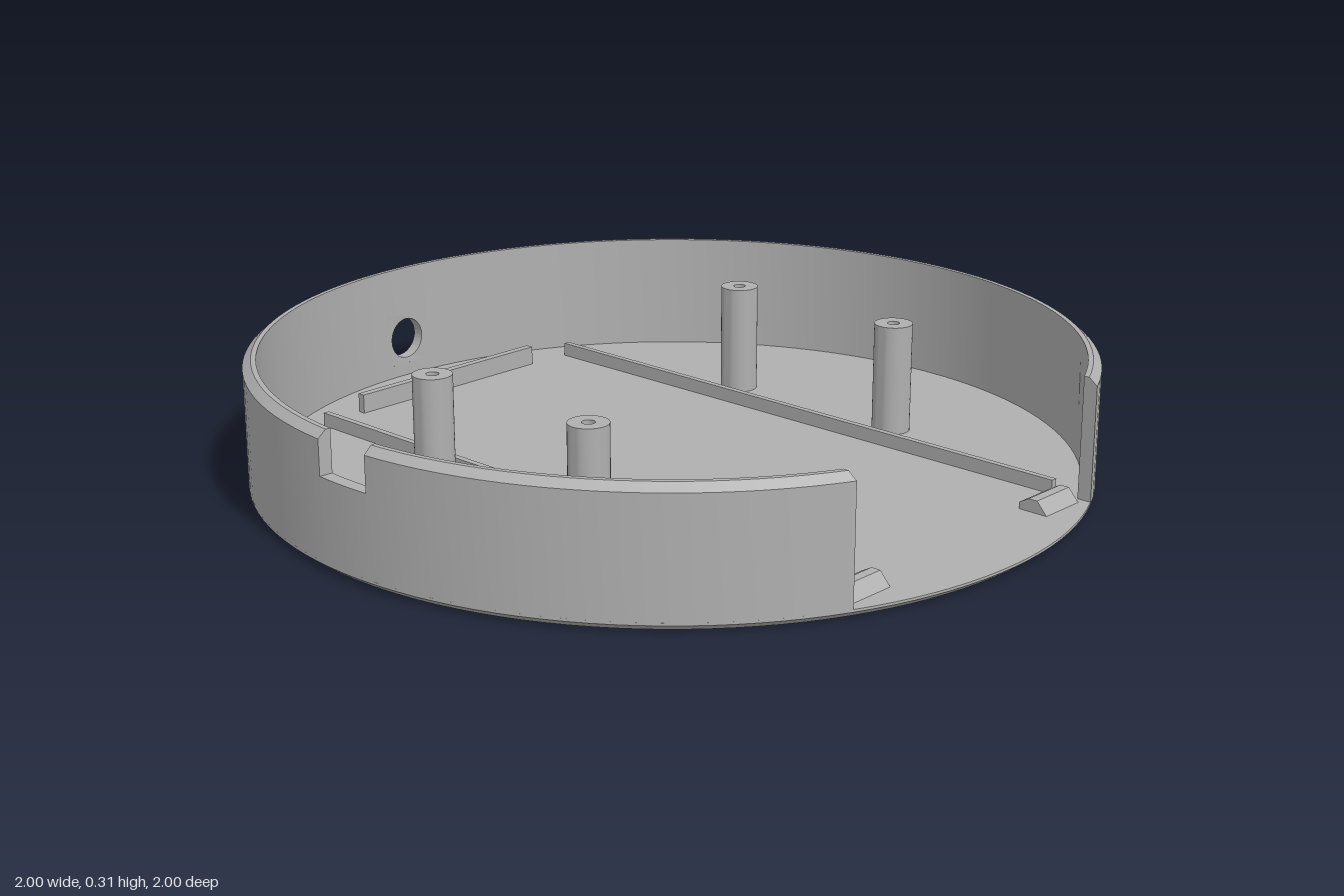
import * as THREE from 'three';
import { mergeGeometries, toCreasedNormals } from 'three/addons/utils/BufferGeometryUtils.js';

const OUT = 1, IN = 0.968, FLOOR = 0.022, TOP = 0.315, CUT = 0.425;
const vec = (list) => list.map(([x, y]) => new THREE.Vector2(x, y));

// Revolved closed profile between two angles (0 = front), with end caps
function sector(profile, a0, a1) {
  const pts = vec(profile);
  const segs = Math.max(1, Math.ceil((a1 - a0) / (Math.PI * 2) * 128));
  const skin = new THREE.LatheGeometry([...pts, pts[0]], segs, a0, a1 - a0);
  const caps = [a0, a1].map((a, i) => {
    const cap = new THREE.ShapeGeometry(new THREE.Shape(pts));
    if (i) cap.index.array.reverse();
    return cap.rotateY(a - Math.PI / 2);
  });
  return [skin, ...caps].map((g) => g.toNonIndexed());
}

// Wall cross-sections
const rim = [[OUT, 0.298], [OUT - 0.02, TOP], [IN, TOP]];
const plain = [[IN, FLOOR], [OUT, FLOOR], ...rim];
const slot = (y0, y1) => [[IN, FLOOR], [OUT, FLOOR], [OUT, y0], [OUT - 0.015, y0],
  [OUT - 0.015, y1], [OUT, y1], ...rim];
const notch = [[IN, FLOOR], [OUT, FLOOR], [OUT, 0.215], [IN, 0.215]];

// Curved panel with a round cable hole, bent around the back of the wall
function holePanel(half, y0, y1) {
  const n = 4, edge = [];
  for (let i = 0; i <= n; i++) edge.push([-half + 2 * half * i / n, y0]);
  for (let i = n; i >= 0; i--) edge.push([-half + 2 * half * i / n, y1]);
  const shape = new THREE.Shape(vec(edge));
  shape.holes.push(new THREE.Path().absarc(0, 0.123, 0.053, 0, Math.PI * 2, true));
  const geo = new THREE.ExtrudeGeometry(shape, { depth: OUT - IN, bevelEnabled: false, curveSegments: 32 });
  const p = geo.attributes.position;
  for (let i = 0; i < p.count; i++) {
    const a = Math.PI + p.getX(i), r = IN + p.getZ(i);
    p.setXYZ(i, r * Math.sin(a), p.getY(i), r * Math.cos(a));
  }
  return geo;
}

function wallGeometry() {
  const features = [0.345, 0.17, 0, -0.165, -0.335].map((z) => (
    { at: Math.acos(z), half: 0.008, profiles: [slot(z === 0 ? 0.025 : 0.09, 0.23)] }));
  features.push({
    at: Math.PI, half: 0.07,
    profiles: [[[IN, FLOOR], [OUT, FLOOR], [OUT, 0.055], [IN, 0.055]], [[IN, 0.19], [OUT, 0.19], ...rim]],
  });
  features.push({ at: Math.PI * 1.5, half: 0.075, profiles: [notch] });

  const start = Math.asin(CUT / OUT);
  const parts = [holePanel(0.07, 0.055, 0.19)];
  let a = start;
  for (const f of features) {
    parts.push(...sector(plain, a, f.at - f.half));
    for (const p of f.profiles) parts.push(...sector(p, f.at - f.half, f.at + f.half));
    a = f.at + f.half;
  }
  parts.push(...sector(plain, a, Math.PI * 2 - start));
  const geo = mergeGeometries(parts);

  // Square off the front opening along straight planes
  const p = geo.attributes.position;
  for (let i = 0; i < p.count; i++) {
    const x = p.getX(i), z = p.getZ(i);
    if (z > 0 && Math.abs(x) < CUT) {
      p.setX(i, Math.sign(x) * CUT);
      p.setZ(i, Math.sqrt(x * x + z * z - CUT * CUT));
    }
  }
  return toCreasedNormals(geo, 0.5);
}

export function createModel() {
  const group = new THREE.Group();
  const grey = new THREE.MeshStandardMaterial({ color: 0xb0b0b0 });
  grey.name = 'grey plastic';
  const add = (name, geo, x = 0, y = 0, z = 0) => {
    const mesh = new THREE.Mesh(geo, grey);
    mesh.name = name;
    mesh.position.set(x, y, z);
    group.add(mesh);
  };

  // Floor disc with a chamfered lower edge
  const disc = vec([[0, 0], [0.98, 0], [OUT, 0.016], [OUT, FLOOR], [0, FLOOR]]);
  add('base', toCreasedNormals(new THREE.LatheGeometry(disc, 128), 0.5));
  add('wall', wallGeometry());

  // Hollow screw posts
  const post = vec([[0.047, FLOOR], [0.047, 0.295], [0.015, 0.295], [0.015, 0.1], [0, 0.1]]);
  const postGeo = toCreasedNormals(new THREE.LatheGeometry(post, 32), 0.5);

  // Ramped retaining clip, profile in z and y
  const clipShape = new THREE.Shape(vec([[0.81, FLOOR], [0.885, FLOOR], [0.858, 0.052], [0.835, 0.052], [0.81, 0.038]]));
  const clip = new THREE.ExtrudeGeometry(clipShape, { depth: 0.125, bevelEnabled: false });
  clip.rotateY(-Math.PI / 2).translate(0.0625, 0, 0);

  for (const side of [-1, 1]) {
    const name = side > 0 ? 'left' : 'right';
    for (const z of [-0.255, 0.25]) add(`${name}Post`, postGeo, side * 0.525, 0, z);
    add(`${name}Rail`, new THREE.BoxGeometry(0.016, 0.035, 1.6), side * 0.417, FLOOR + 0.0165, 0.01);
    add(`${name}Clip`, clip, side * 0.343);
  }
  add('backStop', new THREE.BoxGeometry(0.585, 0.05, 0.02), 0, FLOOR + 0.023, -0.805);
  return group;
}
